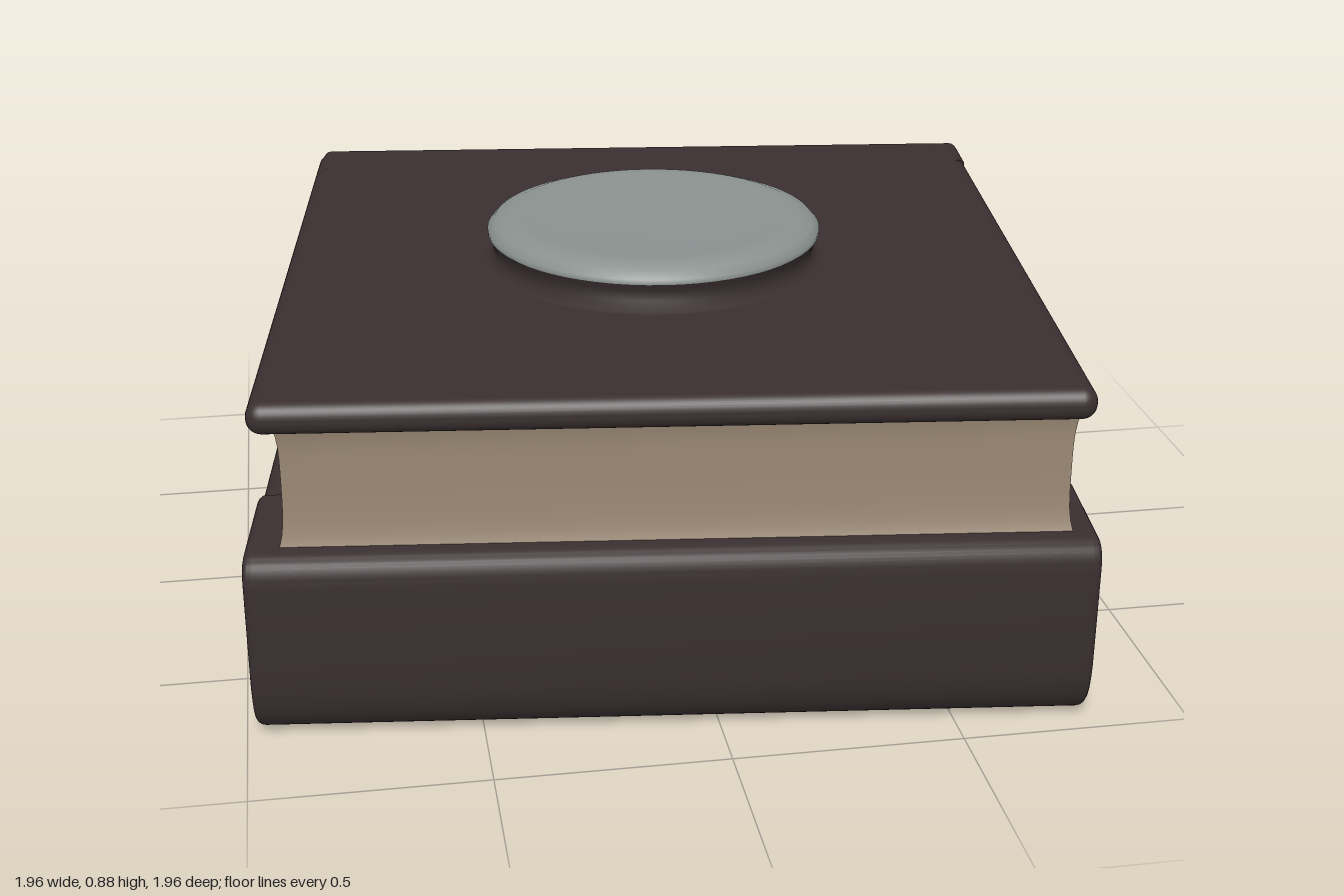
import * as THREE from 'three';
import { RoundedBoxGeometry } from 'three/addons/geometries/RoundedBoxGeometry.js';
import { toCreasedNormals } from 'three/addons/utils/BufferGeometryUtils.js';

const leather = new THREE.MeshStandardMaterial({ color: 0x3a2f30 });
leather.name = 'dark leather';
const paper = new THREE.MeshStandardMaterial({ color: 0x9a8874 });
paper.name = 'paper';
const stone = new THREE.MeshStandardMaterial({ color: 0x8a918f, side: THREE.DoubleSide });
stone.name = 'grey stone';

function add(parent, name, geometry, material) {
  const mesh = new THREE.Mesh(geometry, material);
  mesh.name = name;
  parent.add(mesh);
  return mesh;
}

// Thin board with soft edges, given by its extents
function board(x0, x1, y0, y1, z0, z1) {
  const g = new RoundedBoxGeometry(x1 - x0, y1 - y0, z1 - z0, 4, (y1 - y0) * 0.46);
  return g.translate((x0 + x1) / 2, (y0 + y1) / 2, (z0 + z1) / 2);
}

// Block of pages whose sides curve inward between the covers
function pageBlock(x0, x1, y0, y1, z0, z1, hollow) {
  const w = x1 - x0, h = y1 - y0, d = z1 - z0;
  const g = new THREE.BoxGeometry(w, h, d, 1, 12, 1);
  const p = g.attributes.position;
  for (let i = 0; i < p.count; i++) {
    const t = (2 * p.getY(i)) / h;
    const pull = hollow * (1 - t * t * t * t);
    p.setX(i, p.getX(i) - Math.sign(p.getX(i)) * pull);
    p.setZ(i, p.getZ(i) - Math.sign(p.getZ(i)) * pull);
  }
  g.computeVertexNormals();
  return g.translate((x0 + x1) / 2, (y0 + y1) / 2, (z0 + z1) / 2);
}

// Spine: a (z, y) profile swept along the width of the book
function spine(shape, x0, x1) {
  const bevel = 0.02;
  const g = new THREE.ExtrudeGeometry(shape, {
    depth: x1 - x0 - 2 * bevel, curveSegments: 12,
    bevelEnabled: true, bevelThickness: bevel, bevelSize: bevel, bevelOffset: -bevel, bevelSegments: 4,
  });
  g.rotateY(-Math.PI / 2).translate(x1 - bevel, 0, 0);
  return toCreasedNormals(g, 0.7);
}

function lowerBook() {
  const book = new THREE.Group();
  book.name = 'lowerBook';
  add(book, 'lowerBackCover', board(-0.89, 0.885, 0, 0.065, -0.805, 0.82), leather);
  add(book, 'lowerFrontCover', board(-0.89, 0.89, 0.33, 0.41, -0.82, 0.87), leather);
  add(book, 'lowerPages', pageBlock(-0.875, 0.87, 0.04, 0.36, -0.775, 0.74, 0.04), paper);

  // Rounded back, hollowed inside to frame the pages
  const s = new THREE.Shape();
  s.moveTo(0.58, 0);
  s.lineTo(0.79, 0);
  s.quadraticCurveTo(0.885, 0.01, 0.895, 0.14);
  s.lineTo(0.9, 0.37);
  s.quadraticCurveTo(0.9, 0.435, 0.84, 0.435);
  s.lineTo(0.58, 0.435);
  s.lineTo(0.58, 0.34);
  s.quadraticCurveTo(0.665, 0.34, 0.665, 0.23);
  s.lineTo(0.665, 0.16);
  s.quadraticCurveTo(0.665, 0.06, 0.58, 0.06);
  s.closePath();
  add(book, 'lowerSpine', spine(s, -0.89, 0.89), leather);

  // Worn streak on the end of the spine
  add(book, 'lowerSpineWear', board(0.886, 0.894, 0.12, 0.36, 0.815, 0.84), paper);
  return book;
}

function upperBook() {
  const book = new THREE.Group();
  book.name = 'upperBook';
  add(book, 'upperBackCover', board(-0.82, 0.875, 0.345, 0.435, -0.885, 0.86), leather);
  add(book, 'upperFrontCover', board(-0.86, 0.855, 0.71, 0.78, -0.835, 0.905), leather);
  add(book, 'upperPages', pageBlock(-0.83, 0.85, 0.4, 0.74, -0.77, 0.85, 0.025), paper);

  // Slightly hollow back
  const s = new THREE.Shape();
  s.moveTo(-0.68, 0.36);
  s.lineTo(-0.835, 0.36);
  s.quadraticCurveTo(-0.79, 0.57, -0.835, 0.78);
  s.lineTo(-0.68, 0.78);
  s.lineTo(-0.68, 0.71);
  s.quadraticCurveTo(-0.74, 0.71, -0.74, 0.64);
  s.lineTo(-0.74, 0.5);
  s.quadraticCurveTo(-0.74, 0.43, -0.68, 0.43);
  s.closePath();
  add(book, 'upperSpine', spine(s, -0.85, 0.855), leather);

  // Worn streaks near the spine corner
  for (const [x, y0, y1] of [[0.8, 0.5, 0.67], [0.755, 0.5, 0.64]]) {
    add(book, 'upperSpineWear', board(x - 0.01, x + 0.01, y0, y1, -0.818, -0.809), paper);
  }
  return book;
}

// Round medallion: dark flared foot with a softly dished pale top
function medallion() {
  const group = new THREE.Group();
  group.name = 'medallion';
  const lathe = (points) =>
    new THREE.LatheGeometry(points.map(([r, y]) => new THREE.Vector2(r, y)), 64);
  add(group, 'medallionFoot', lathe([[0.42, 0.775], [0.385, 0.783], [0.37, 0.8], [0.375, 0.825], [0.385, 0.845]]), leather);
  add(group, 'medallionTop', lathe([
    [0.385, 0.843], [0.386, 0.855], [0.37, 0.872], [0.34, 0.882], [0.3, 0.882], [0.24, 0.875], [0, 0.875],
  ]), stone);
  group.position.set(-0.01, 0, 0.03);
  return group;
}

export function createModel() {
  const model = new THREE.Group();
  model.name = 'stackedBooks';
  const books = [lowerBook(), upperBook()];
  for (const book of books) {
    book.rotation.y = -0.115;
    model.add(book);
  }
  model.add(medallion());
  return model;
}
